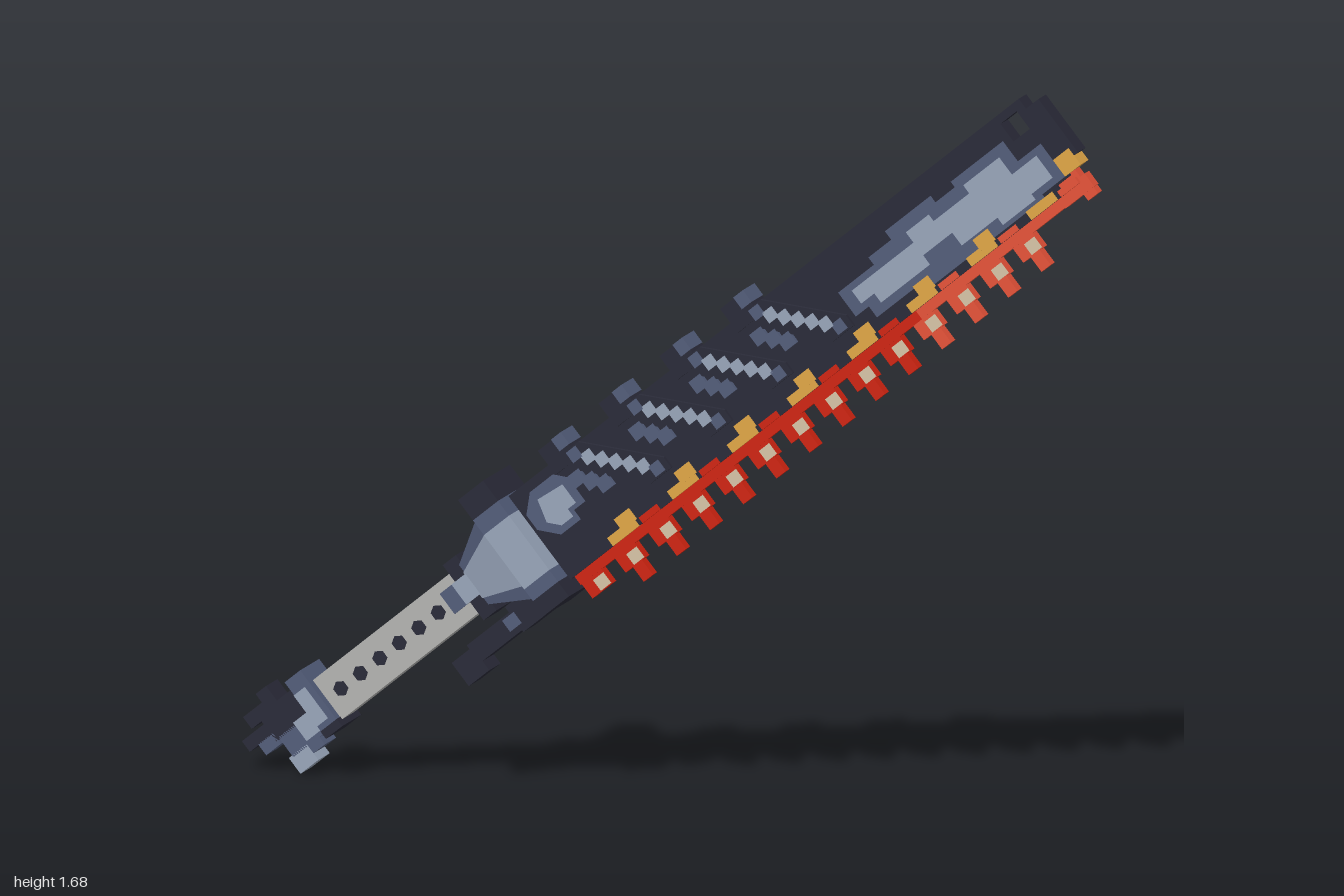
import * as THREE from 'three';

const mat = (name, color) => {
  const m = new THREE.MeshStandardMaterial({ color, flatShading: true });
  m.name = name;
  return m;
};

export function createModel() {
  const dark = mat('dark iron', 0x292a38), mid = mat('blue steel', 0x535d7a), light = mat('pale steel', 0x98a5b9);
  const grey = mat('handle grey', 0xb3b3b1), red = mat('chain red', 0xd02410), bright = mat('hot red', 0xe65238);
  const gold = mat('gold', 0xe0a646), cream = mat('cream', 0xd6c4a6);

  // Everything is laid out along the sword (u = x, v = y) and tilted at the end.
  const root = new THREE.Group();
  root.name = 'chainSword';
  const group = (name) => {
    const g = new THREE.Group();
    g.name = name;
    root.add(g);
    return g;
  };
  const add = (parent, name, geo, m) => {
    const mesh = new THREE.Mesh(geo, m);
    mesh.name = name;
    parent.add(mesh);
    return mesh;
  };
  // Box from u0..u1, v0..v1, with half thickness h
  const box = (parent, name, m, u0, u1, v0, v1, h) => {
    const mesh = add(parent, name, new THREE.BoxGeometry(u1 - u0, v1 - v0, 2 * h), m);
    mesh.position.set((u0 + u1) / 2, (v0 + v1) / 2, 0);
    return mesh;
  };
  // Box that narrows towards the handle end
  const wedge = (...args) => {
    const mesh = box(...args);
    const p = mesh.geometry.attributes.position;
    for (let i = 0; i < p.count; i++) {
      if (p.getX(i) < 0) p.setXYZ(i, p.getX(i), p.getY(i) * 0.5, p.getZ(i) * 0.6);
    }
    mesh.geometry.computeVertexNormals();
  };
  // Flat outline extruded symmetrically, with optional holes
  const slab = (parent, name, m, pts, h, holes = []) => {
    const toV = (a) => a.map(([x, y]) => new THREE.Vector2(x, y));
    const s = new THREE.Shape(toV(pts));
    holes.forEach((hole) => s.holes.push(new THREE.Path(toV(hole))));
    const geo = new THREE.ExtrudeGeometry(s, { depth: 2 * h, bevelEnabled: false });
    geo.translate(0, 0, -h);
    add(parent, name, geo, m);
  };

  // Blade with a square hole near the notched tip
  const blade = group('blade');
  slab(blade, 'bladeBody', dark, [
    [0.12, 0.53], [1.66, 0.53], [1.66, 0.555], [1.7, 0.555], [1.7, 0.585], [1.75, 0.585],
    [1.75, 0.73], [1.712, 0.73], [1.712, 0.757], [0.12, 0.757],
  ], 0.022, [[[1.64, 0.69], [1.69, 0.69], [1.69, 0.738], [1.64, 0.738]]]);

  // Worn steel panels, showing on both faces
  slab(blade, 'tipPanelBorder', mid, [
    [1.08, 0.6], [1.12, 0.6], [1.12, 0.57], [1.26, 0.57], [1.26, 0.55], [1.62, 0.55], [1.62, 0.56], [1.69, 0.56],
    [1.69, 0.65], [1.62, 0.65], [1.62, 0.705], [1.46, 0.705], [1.46, 0.69], [1.4, 0.69], [1.4, 0.708], [1.26, 0.708],
    [1.26, 0.685], [1.19, 0.685], [1.19, 0.665], [1.08, 0.665],
  ], 0.0235);
  slab(blade, 'tipPanel', light, [
    [1.11, 0.615], [1.15, 0.615], [1.15, 0.59], [1.3, 0.59], [1.3, 0.615], [1.39, 0.615], [1.39, 0.58], [1.5, 0.58],
    [1.5, 0.56], [1.6, 0.56], [1.6, 0.575], [1.665, 0.575], [1.665, 0.635], [1.59, 0.635], [1.59, 0.682], [1.48, 0.682],
    [1.48, 0.66], [1.37, 0.66], [1.37, 0.678], [1.3, 0.678], [1.3, 0.65], [1.11, 0.65],
  ], 0.025);
  slab(blade, 'rootPanelBorder', mid, [
    [0.15, 0.66], [0.19, 0.62], [0.25, 0.62], [0.25, 0.645], [0.285, 0.645], [0.285, 0.71], [0.26, 0.735], [0.19, 0.735], [0.15, 0.7],
  ], 0.0235);
  slab(blade, 'rootPanel', light, [
    [0.18, 0.66], [0.205, 0.635], [0.24, 0.635], [0.24, 0.655], [0.265, 0.655], [0.265, 0.705], [0.195, 0.712],
  ], 0.025);

  // Four raised diagonal ribs with stepped steel links
  const ribs = group('ribs');
  for (let k = 0; k < 4; k++) {
    const e = 0.34 + 0.187 * k;
    slab(ribs, 'ribBody', dark, [
      [e - 0.07, 0.757], [e - 0.03, 0.717], [e + 0.1, 0.587], [e + 0.165, 0.587], [e + 0.165, 0.615], [e + 0.02, 0.757],
    ], 0.031);
    box(ribs, 'ribTab', dark, e - 0.07, e, 0.73, 0.795, 0.033);
    box(ribs, 'ribTabEnd', mid, e - 0.028, e + 0.002, 0.765, 0.797, 0.0335);
    for (let i = 0; i < 7; i++) {
      const u = e - 0.004 + 0.0235 * i, v = 0.74 - 0.0225 * i;
      box(ribs, 'ribLink', i % 6 ? light : mid, u - 0.014, u + 0.014, v - 0.014, v + 0.014, 0.0345);
      if (i > 1 && i < 5) box(ribs, 'ribShade', mid, u - 0.095, u - 0.06, v - 0.016, v + 0.016, 0.032);
    }
  }

  // Cutting chain: rail, gold links and stepped teeth
  const chain = group('chain');
  box(chain, 'chainRail', red, 0.15, 1.2, 0.507, 0.535, 0.013);
  box(chain, 'chainRailTip', bright, 1.2, 1.7, 0.507, 0.56, 0.013);
  for (let k = 0; k < 8; k++) {
    const u = 0.32 + 0.184 * k, m = k > 4 ? bright : red;
    box(chain, 'goldLink', gold, u - 0.045, u + 0.035, 0.53, 0.552, 0.0255);
    if (k < 7) box(chain, 'goldLinkTop', gold, u - 0.005, u + 0.04, 0.545, 0.575, 0.026);
    box(chain, 'redLink', m, u + 0.045, u + 0.1, 0.53, 0.545, 0.0235);
  }
  for (let k = 0; k < 14; k++) {
    const u = 0.183 + 0.102 * k, m = k > 9 ? bright : red;
    box(chain, 'toothBase', m, u - 0.03, u + 0.03, 0.468, 0.51, 0.0125);
    box(chain, 'toothFace', cream, u - 0.002, u + 0.0295, 0.47, 0.499, 0.0135);
    if (k > 0) box(chain, 'toothTip', m, u - 0.008, u + 0.02, 0.428, 0.468, 0.012);
  }
  box(chain, 'noseLink', gold, 1.69, 1.738, 0.56, 0.605, 0.0225);
  box(chain, 'noseTooth', bright, 1.64, 1.728, 0.505, 0.54, 0.013);
  box(chain, 'noseToothBack', bright, 1.685, 1.715, 0.535, 0.565, 0.0132);
  box(chain, 'noseToothTip', bright, 1.695, 1.725, 0.488, 0.51, 0.012);

  // Cross guard in coloured bands, with a tapered throat to the handle
  const guard = group('guard');
  [[dark, 0.5, 0.54], [mid, 0.54, 0.572], [light, 0.572, 0.72], [mid, 0.72, 0.76], [dark, 0.76, 0.815]]
    .forEach(([m, v0, v1]) => box(guard, 'guardBand', m, 0.065, 0.142, v0, v1, 0.078));
  wedge(guard, 'throatEdge', mid, -0.045, 0.065, 0.545, 0.755, 0.074);
  wedge(guard, 'throatFace', light, -0.045, 0.0655, 0.58, 0.72, 0.077);
  box(guard, 'collar', dark, -0.075, -0.035, 0.575, 0.725, 0.045);
  box(guard, 'collarPlate', light, -0.085, -0.03, 0.625, 0.68, 0.047);
  box(guard, 'collarStep', mid, -0.125, -0.075, 0.625, 0.68, 0.04);

  // Hooked finger guard below the handle
  const hook = group('fingerGuard');
  box(hook, 'hookRoot', dark, -0.02, 0.075, 0.502, 0.57, 0.033);
  box(hook, 'hookBar', dark, -0.15, 0, 0.507, 0.555, 0.033);
  box(hook, 'hookEnd', dark, -0.205, -0.142, 0.482, 0.545, 0.033);
  box(hook, 'hookPatch', mid, -0.045, -0.01, 0.52, 0.55, 0.0345);

  // Handle with a row of dark studs
  const handle = group('handle');
  box(handle, 'grip', grey, -0.52, -0.06, 0.595, 0.702, 0.034);
  for (let i = 0; i < 6; i++) {
    const stud = add(handle, 'gripStud', new THREE.CylinderGeometry(0.018, 0.018, 0.071, 6), dark);
    stud.rotation.x = Math.PI / 2;
    stud.position.set(-0.457 + 0.06 * i, 0.65, 0);
  }

  // Pommel: collar, body and prongs
  const pommel = group('pommel');
  box(pommel, 'pommelCollar', mid, -0.548, -0.5, 0.583, 0.735, 0.055);
  box(pommel, 'pommelCollarPlate', light, -0.549, -0.515, 0.615, 0.7, 0.0565);
  box(pommel, 'pommelCollarEnd', dark, -0.549, -0.499, 0.582, 0.602, 0.0555);
  box(pommel, 'pommelBody', dark, -0.66, -0.548, 0.645, 0.715, 0.033);
  box(pommel, 'pommelBelly', mid, -0.65, -0.548, 0.595, 0.65, 0.033);
  box(pommel, 'pommelPlate', light, -0.6, -0.547, 0.605, 0.655, 0.0345);
  box(pommel, 'lowerProng', light, -0.66, -0.605, 0.557, 0.6, 0.033);
  box(pommel, 'lowerProngStep', mid, -0.615, -0.57, 0.575, 0.6, 0.0325);
  box(pommel, 'endProng', dark, -0.727, -0.655, 0.663, 0.692, 0.033);
  box(pommel, 'endProngPatch', mid, -0.7, -0.655, 0.635, 0.665, 0.033);
  box(pommel, 'upperProng', dark, -0.69, -0.615, 0.7, 0.732, 0.033);
  box(pommel, 'upperProngTip', dark, -0.632, -0.6, 0.7, 0.755, 0.033);

  root.rotation.z = THREE.MathUtils.degToRad(40);
  const model = new THREE.Group();
  model.name = 'model';
  model.add(root);
  return model;
}
